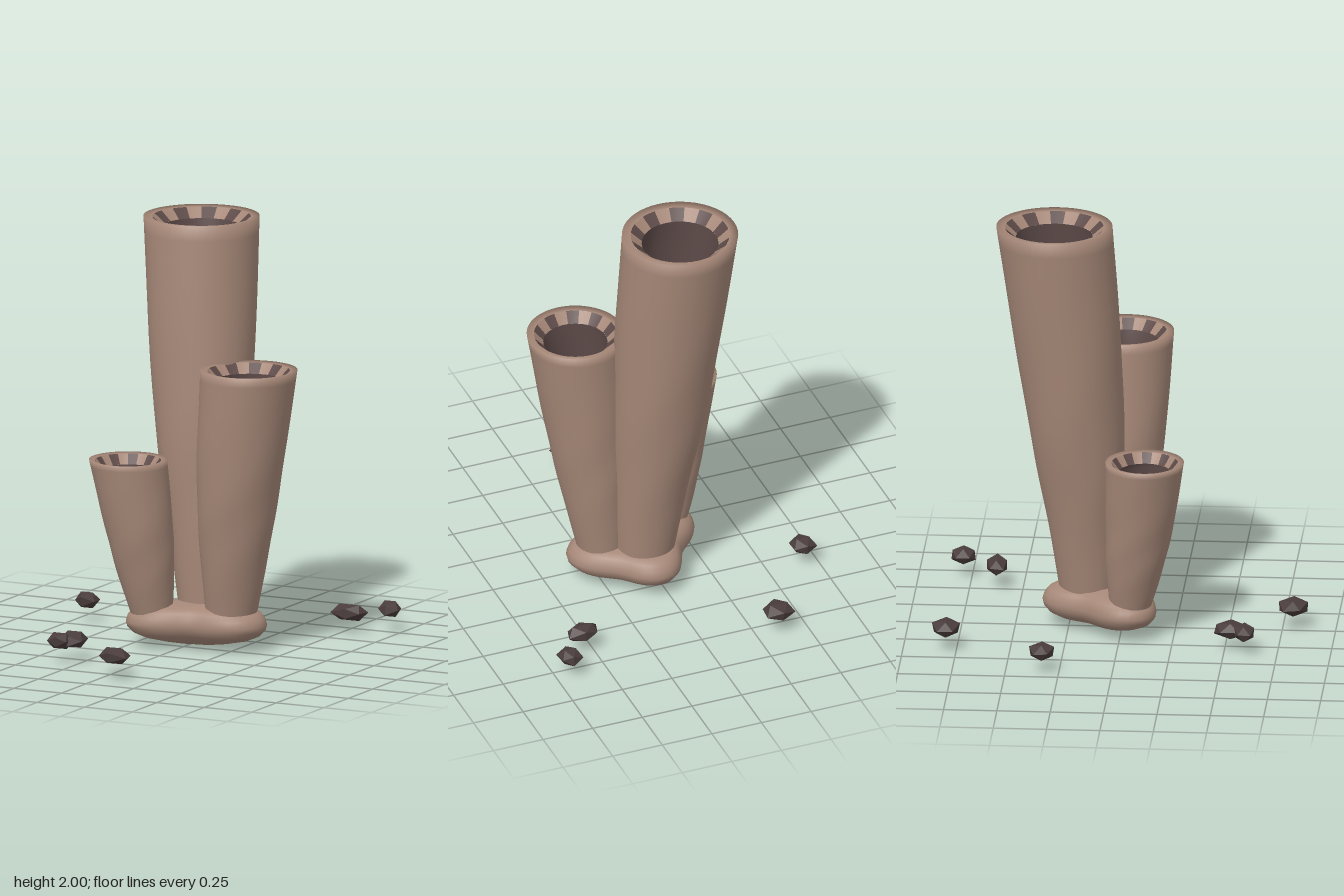
import * as THREE from 'three';

const tan = new THREE.MeshStandardMaterial({ color: 0xa68878 });
tan.name = 'tan';
const dark = new THREE.MeshStandardMaterial({ color: 0x5c4a48 });
dark.name = 'dark brown';
const stone = new THREE.MeshStandardMaterial({ color: 0x4a3c3c });
stone.name = 'stone brown';

// Skin a stack of horizontal rings {x, y, z, r}; r may be a function of the angle
function loft(name, rings, mat, n = 48, from = 0, to = Math.PI * 2) {
  const closed = to - from > 6.28;
  const cols = closed ? n : n + 1;
  const pos = [], idx = [];
  for (const { x, y, z, r } of rings) {
    for (let i = 0; i < cols; i++) {
      const a = from + (to - from) * i / n;
      const d = typeof r === 'function' ? r(a) : r;
      pos.push(x + Math.cos(a) * d, y, z + Math.sin(a) * d);
    }
  }
  for (let j = 0; j < rings.length - 1; j++) {
    for (let i = 0; i < n; i++) {
      const a = j * cols + i, b = j * cols + (i + 1) % cols;
      idx.push(a, a + cols, b, b, a + cols, b + cols);
    }
  }
  const g = new THREE.BufferGeometry();
  g.setAttribute('position', new THREE.Float32BufferAttribute(pos, 3));
  g.setIndex(idx);
  g.computeVertexNormals();
  const mesh = new THREE.Mesh(g, mat);
  mesh.name = name;
  return mesh;
}

// Hollow leaning tube; stations are [x, y, z, radius] from bottom to top
function tube(name, stations) {
  const group = new THREE.Group();
  group.name = name;
  const axis = new THREE.CatmullRomCurve3(stations.map(s => new THREE.Vector3(s[0], s[1], s[2])));
  const radii = new THREE.CatmullRomCurve3(stations.map(s => new THREE.Vector3(s[3], s[1], 0)));
  const at = t => {
    const p = axis.getPoint(t);
    return { x: p.x, y: p.y, z: p.z, r: radii.getPoint(t).x };
  };
  const top = at(1);
  const lip = (k, drop) => ({ ...top, r: top.r * k, y: top.y - drop });

  // Slightly uneven outer wall, rolling over onto the rim
  const wall = [];
  for (let j = 0; j <= 24; j++) {
    const s = at(j / 24 * 0.97);
    wall.push({ ...s, r: a => s.r * (1 + 0.008 * Math.sin(3 * a + j * 0.7) * Math.sin(j / 24 * Math.PI)) });
  }
  wall.push(lip(1, 0), lip(0.85, 0.005));
  group.add(loft('outerWall', wall, tan));

  // Alternating cells sloping into the mouth
  const slope = [lip(0.85, 0.005), lip(0.66, 0.05)];
  const step = Math.PI / 10;
  for (let i = 0; i < 20; i++) {
    const a = (i - 0.5) * step;
    group.add(loft(i % 2 ? 'rimCell' : 'darkRimCell', slope, i % 2 ? tan : dark, 3, a, a + step));
  }

  // Dark cavity and its floor
  const cavity = [lip(0.66, 0.05)];
  for (let j = 0; j <= 10; j++) {
    const s = at(0.93 - j * 0.055);
    cavity.push({ ...s, r: s.r * 0.66 });
  }
  group.add(loft('cavity', cavity, dark));
  const end = cavity[cavity.length - 1];
  const floor = new THREE.Mesh(new THREE.CircleGeometry(end.r, 32).rotateX(-Math.PI / 2), dark);
  floor.position.set(end.x, end.y, end.z);
  floor.name = 'cavityFloor';
  group.add(floor);
  return group;
}

// Three-lobed rounded foot joining the tubes
function base() {
  const lobes = [[2.56, 0.18], [0.12, 0.19], [-1.57, 0.13]];
  const outline = a => lobes.reduce((sum, [dir, size]) => {
    const d = Math.atan2(Math.sin(a - dir), Math.cos(a - dir));
    return sum + size * Math.exp(-d * d / 0.55);
  }, 0.165);
  const profile = [[0.002, 0.005], [0.25, 0.015], [0.5, 0.03], [0.75, 0.05], [0.9, 0.072], [0.98, 0.1],
    [1, 0.125], [0.97, 0.155], [0.9, 0.18], [0.78, 0.198], [0.5, 0.21], [0.002, 0.215]];
  return loft('base', profile.map(([k, y]) => ({ x: 0.04, y, z: -0.08, r: a => k * outline(a) })), tan, 64);
}

// Faceted pebble with corners shifted by a repeatable rule
function pebble(x, z, rx, rz, seed) {
  const g = new THREE.IcosahedronGeometry(1, 0);
  const p = g.attributes.position;
  const v = new THREE.Vector3();
  for (let i = 0; i < p.count; i++) {
    v.fromBufferAttribute(p, i);
    const k = 1.02 + 0.14 * Math.sin(v.x * 5.1 + v.y * 7.3 + v.z * 3.7 + seed * 2.3);
    p.setXYZ(i, v.x * k * rx, v.y * 0.044, v.z * k * rz);
  }
  g.computeVertexNormals();
  const mesh = new THREE.Mesh(g, stone);
  mesh.position.set(x, 0.108, z);
  mesh.name = 'pebble';
  return mesh;
}

export function createModel() {
  const model = new THREE.Group();
  model.name = 'tubeCluster';
  model.add(base());
  model.add(tube('tallTube', [[0.05, 0.14, -0.155, 0.135], [0.03, 0.5, -0.175, 0.172],
    [0, 0.9, -0.205, 0.215], [-0.03, 1.4, -0.25, 0.248], [-0.067, 2, -0.313, 0.272]]));
  model.add(tube('mediumTube', [[0.22, 0.14, -0.055, 0.115], [0.25, 0.5, -0.035, 0.165],
    [0.283, 0.85, -0.018, 0.2], [0.338, 1.355, -0.008, 0.228]]));
  model.add(tube('smallTube', [[-0.14, 0.13, 0.045, 0.092], [-0.163, 0.35, 0.07, 0.132],
    [-0.187, 0.58, 0.095, 0.16], [-0.23, 0.9, 0.122, 0.183]]));
  const pebbles = [[-0.37, -0.8, 0.078, 0.07], [0.68, -0.79, 0.058, 0.058], [0.55, -0.625, 0.085, 0.06],
    [-0.68, -0.33, 0.062, 0.06], [-0.3, 0.53, 0.065, 0.082], [-0.345, 0.595, 0.058, 0.058], [0.045, 0.8, 0.085, 0.07]];
  pebbles.forEach((q, i) => model.add(pebble(...q, i)));
  return model;
}
